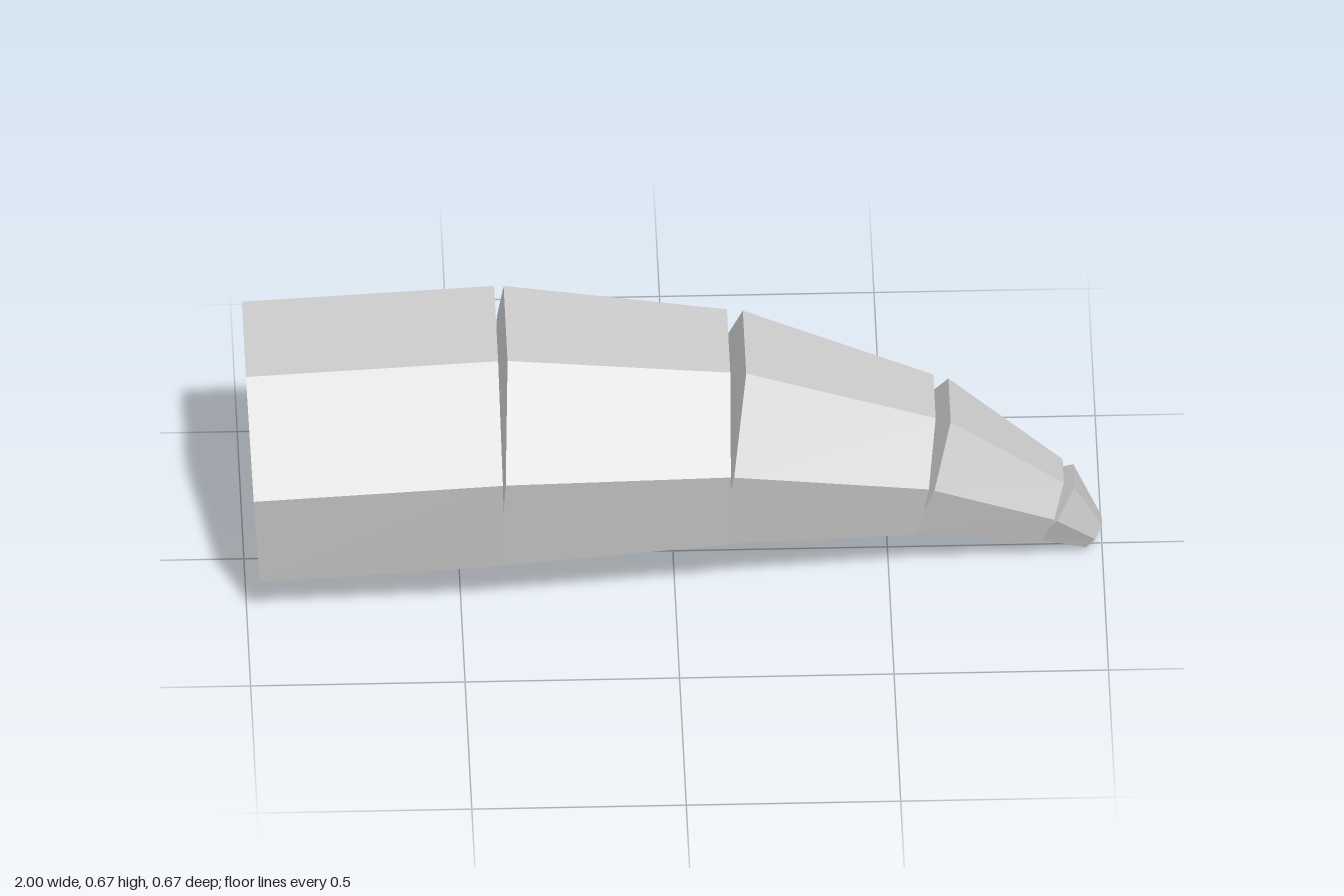
import * as THREE from 'three';

const SIDES = 7;
const FULL = 1 + Math.cos(Math.PI / SIDES); // heptagon height for radius 1

// Heptagon with a flat top and a corner at the bottom, in a plane tilted
// between its top and bottom points (x, y); r is its half width radius.
function ring({ top, bottom, r }) {
  const points = [];
  for (let k = 0; k < SIDES; k++) {
    const a = (k / SIDES) * Math.PI * 2;
    const f = (1 - Math.cos(a)) / FULL;
    points.push([
      bottom[0] + (top[0] - bottom[0]) * f,
      bottom[1] + (top[1] - bottom[1]) * f,
      r * Math.sin(a),
    ]);
  }
  return points;
}

// Closed tapered block between two rings
function segmentGeometry(start, end) {
  const a = ring(start), b = ring(end), pos = [];
  const tri = (...corners) => corners.forEach((c) => pos.push(...c));
  for (let k = 0; k < SIDES; k++) {
    const n = (k + 1) % SIDES;
    tri(a[k], b[k], b[n]);
    tri(a[k], b[n], a[n]);
    if (k > 0 && k < SIDES - 1) {
      tri(a[0], a[k], a[n]);
      tri(b[0], b[n], b[k]);
    }
  }
  const geometry = new THREE.BufferGeometry();
  geometry.setAttribute('position', new THREE.Float32BufferAttribute(pos, 3));
  geometry.computeVertexNormals();
  return geometry;
}

export function createModel() {
  const model = new THREE.Group();
  model.name = 'segmentedTail';
  const grey = new THREE.MeshStandardMaterial({ color: 0xcccccc, flatShading: true });
  grey.name = 'light grey';

  // Each block starts a little inside the one before, leaving a notch on top
  const segments = [
    ['baseSegment',
      { top: [-1, 0.635], bottom: [-0.965, 0.003], r: 0.3415 },
      { top: [-0.412, 0.667], bottom: [-0.397, 0.037], r: 0.3415 }],
    ['secondSegment',
      { top: [-0.39, 0.667], bottom: [-0.418, 0.037], r: 0.3405 },
      { top: [0.13, 0.604], bottom: [0.12, 0.075], r: 0.287 }],
    ['middleSegment',
      { top: [0.167, 0.6], bottom: [0.075, 0.078], r: 0.286 },
      { top: [0.61, 0.433], bottom: [0.556, 0.077], r: 0.198 }],
    ['fourthSegment',
      { top: [0.645, 0.421], bottom: [0.53, 0.085], r: 0.197 },
      { top: [0.91, 0.21], bottom: [0.842, 0.033], r: 0.108 }],
    ['tipSegment',
      { top: [0.935, 0.195], bottom: [0.815, 0.048], r: 0.107 },
      { top: [1, 0.065], bottom: [0.952, 0], r: 0.043 }],
  ];
  for (const [name, start, end] of segments) {
    const mesh = new THREE.Mesh(segmentGeometry(start, end), grey);
    mesh.name = name;
    model.add(mesh);
  }
  return model;
}
